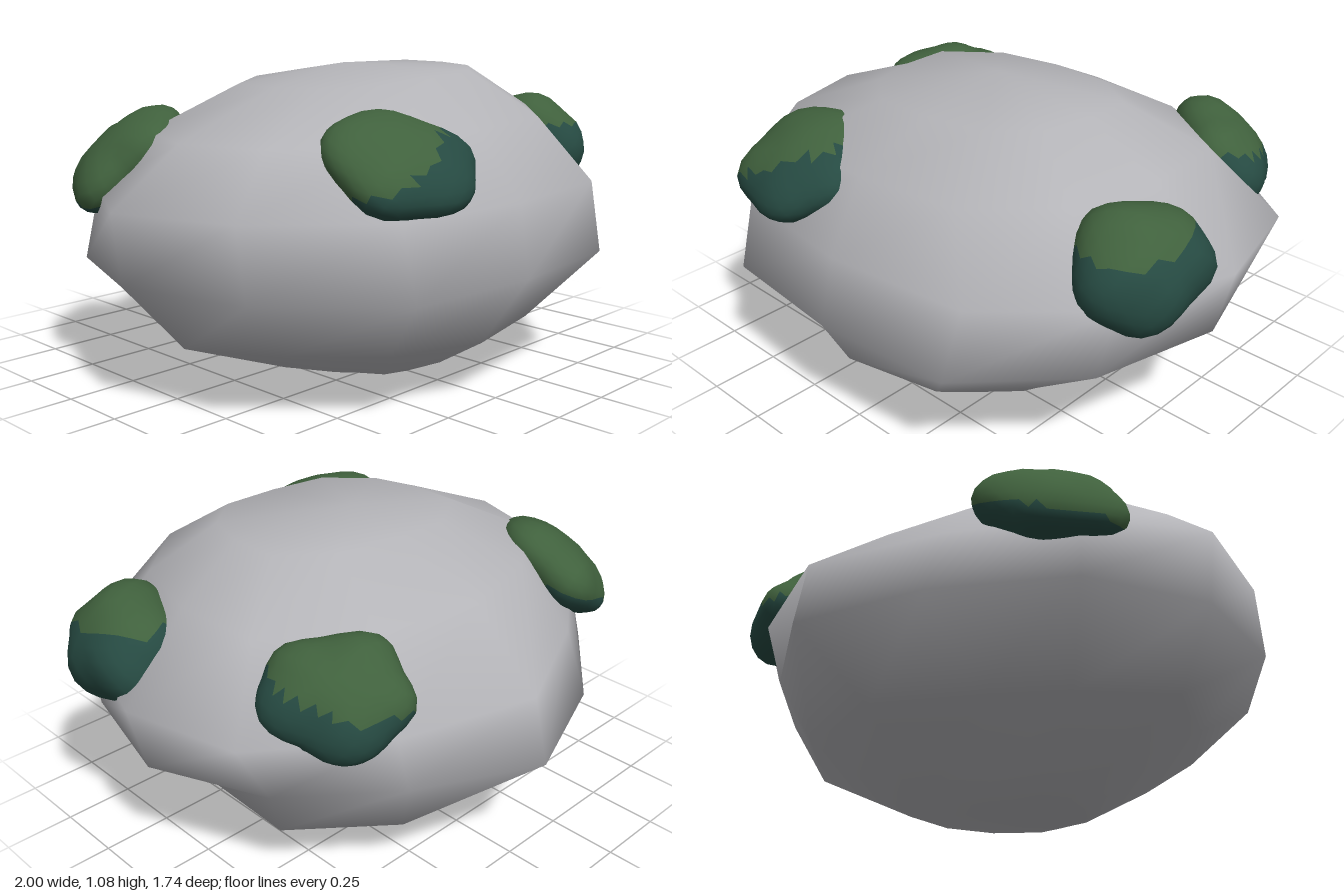
import * as THREE from 'three';
import { mergeVertices } from 'three/addons/utils/BufferGeometryUtils.js';

const stone = new THREE.MeshStandardMaterial({ color: 0xb4b4b8 });
stone.name = 'grey stone';
const moss = new THREE.MeshStandardMaterial({ color: 0x40613d });
moss.name = 'moss green';
const darkMoss = new THREE.MeshStandardMaterial({ color: 0x264a42 });
darkMoss.name = 'dark teal moss';

// Boulder outline seen from above, as unit x and z, running from +x towards +z
const PLAN = [
  [1, 0.03], [0.88, 0.55], [0.54, 0.94], [0.01, 1], [-0.52, 0.97], [-0.89, 0.55],
  [-1, 0.03], [-0.87, -0.47], [-0.47, -0.82], [0.02, -1], [0.51, -0.83], [0.9, -0.48],
];

// Cross-sections: height, rise towards +x, x range, z range,
// and fullness of the four corners (+x+z, -x+z, -x-z, +x-z)
const RINGS = [
  [0.01, 0, -0.2, 0.14, -0.08, 0.38, [1, 0.9, 1, 1]],
  [0.05, 0, -0.38, 0.44, -0.24, 0.48, [0.95, 0.88, 0.9, 1.05]],
  [0.2, 0, -0.78, 0.65, -0.6, 0.73, [0.94, 0.85, 0.82, 1.13]],
  [0.43, 0, -0.97, 0.94, -0.87, 0.87, [1, 0.98, 0.97, 0.91]],
  [0.67, 0, -1, 1, -0.82, 0.82, [0.98, 0.96, 0.91, 1]],
  [0.89, 0.03, -0.78, 0.72, -0.53, 0.66, [1, 1, 1, 1.08]],
  [1.04, 0.05, -0.4, 0.47, -0.22, 0.42, [1, 1, 1.15, 1.1]],
];

function boulderGeometry() {
  const n = PLAN.length;
  const pos = [];
  const index = [];
  for (const [y, rise, x0, x1, z0, z1, corners] of RINGS) {
    PLAN.forEach(([u, v], i) => {
      const full = i % 3 === 0 ? 1 : corners[Math.floor(i / 3)];
      const x = (x0 + x1) / 2 + u * full * (x1 - x0) / 2;
      pos.push(x, y + rise * x, (z0 + z1) / 2 + v * full * (z1 - z0) / 2);
    });
  }
  const bottom = pos.length / 3;
  pos.push(0, 0, 0.06, 0, 1.08, 0.04);
  const last = (RINGS.length - 1) * n;
  for (let i = 0; i < n; i++) {
    const j = (i + 1) % n;
    for (let r = 0; r < last; r += n) {
      index.push(r + i, r + n + i, r + j, r + j, r + n + i, r + n + j);
    }
    index.push(bottom, i, j, bottom + 1, last + j, last + i);
  }
  const g = new THREE.BufferGeometry();
  g.setAttribute('position', new THREE.Float32BufferAttribute(pos, 3));
  g.setIndex(index);
  g.computeVertexNormals();
  return g;
}

// Lumpy flattened clump lying on the stone: green above a slanted line, teal below
function mossClump(name, { at, normal, size, split, seed }) {
  const ball = new THREE.IcosahedronGeometry(1, 4);
  ball.deleteAttribute('uv');
  ball.deleteAttribute('normal');
  const g = mergeVertices(ball, 1e-3);
  const p = g.attributes.position;
  const out = new THREE.Vector3(...normal).normalize();
  const side = new THREE.Vector3(0, 1, 0).cross(out).normalize();
  const up = out.clone().cross(side);
  const frame = new THREE.Matrix4().makeBasis(side, up, out);
  const scale = new THREE.Vector3(...size);
  const v = new THREE.Vector3();
  for (let i = 0; i < p.count; i++) {
    v.fromBufferAttribute(p, i);
    const a = Math.atan2(v.y, v.x);
    const rim = Math.hypot(v.x, v.y);
    const lump = 1 + rim * (0.05 * Math.sin(5 * a + seed) + 0.04 * Math.sin(3 * a + 2 * seed))
      + 0.025 * Math.sin(6 * v.x + seed) * Math.cos(5 * v.y);
    v.multiplyScalar(lump).multiply(scale).applyMatrix4(frame);
    p.setXYZ(i, v.x, v.y, v.z);
  }
  g.computeVertexNormals();

  // Sort the faces into the two colours
  const upper = [];
  const lower = [];
  const [height, slopeX, slopeZ] = split;
  for (let f = 0; f < g.index.count; f += 3) {
    const ids = [0, 1, 2].map((k) => g.index.getX(f + k));
    const mean = (get) => ids.reduce((s, i) => s + get(i), 0) / 3;
    const x = mean((i) => p.getX(i));
    const y = mean((i) => p.getY(i));
    const z = mean((i) => p.getZ(i));
    (y > height + slopeX * x + slopeZ * z ? upper : lower).push(...ids);
  }
  g.setIndex([...upper, ...lower]);
  g.addGroup(0, upper.length, 0);
  g.addGroup(upper.length, lower.length, 1);
  const mesh = new THREE.Mesh(g, [moss, darkMoss]);
  mesh.name = name;
  mesh.position.set(...at);
  return mesh;
}

export function createModel() {
  const group = new THREE.Group();
  group.name = 'mossyBoulder';
  const boulder = new THREE.Mesh(boulderGeometry(), stone);
  boulder.name = 'boulder';
  group.add(
    boulder,
    mossClump('frontMoss', { at: [-0.36, 0.815, 0.63], normal: [-0.1, 0.85, 0.52], size: [0.26, 0.23, 0.11], split: [0.03, 0.45, 0], seed: 1 }),
    mossClump('leftMoss', { at: [0.82, 0.74, 0.28], normal: [0.77, 0.62, 0.17], size: [0.245, 0.205, 0.17], split: [0.1, 0, -0.1], seed: 4.2 }),
    mossClump('backLeftMoss', { at: [0.59, 0.78, -0.5], normal: [0.55, 0.7, -0.5], size: [0.24, 0.2, 0.13], split: [0.04, 0, 0.25], seed: 2.4 }),
    mossClump('backRightMoss', { at: [-0.67, 0.76, -0.35], normal: [-0.55, 0.75, -0.35], size: [0.25, 0.235, 0.12], split: [-0.05, 0.4, 0.1], seed: 5.5 }),
  );
  return group;
}
